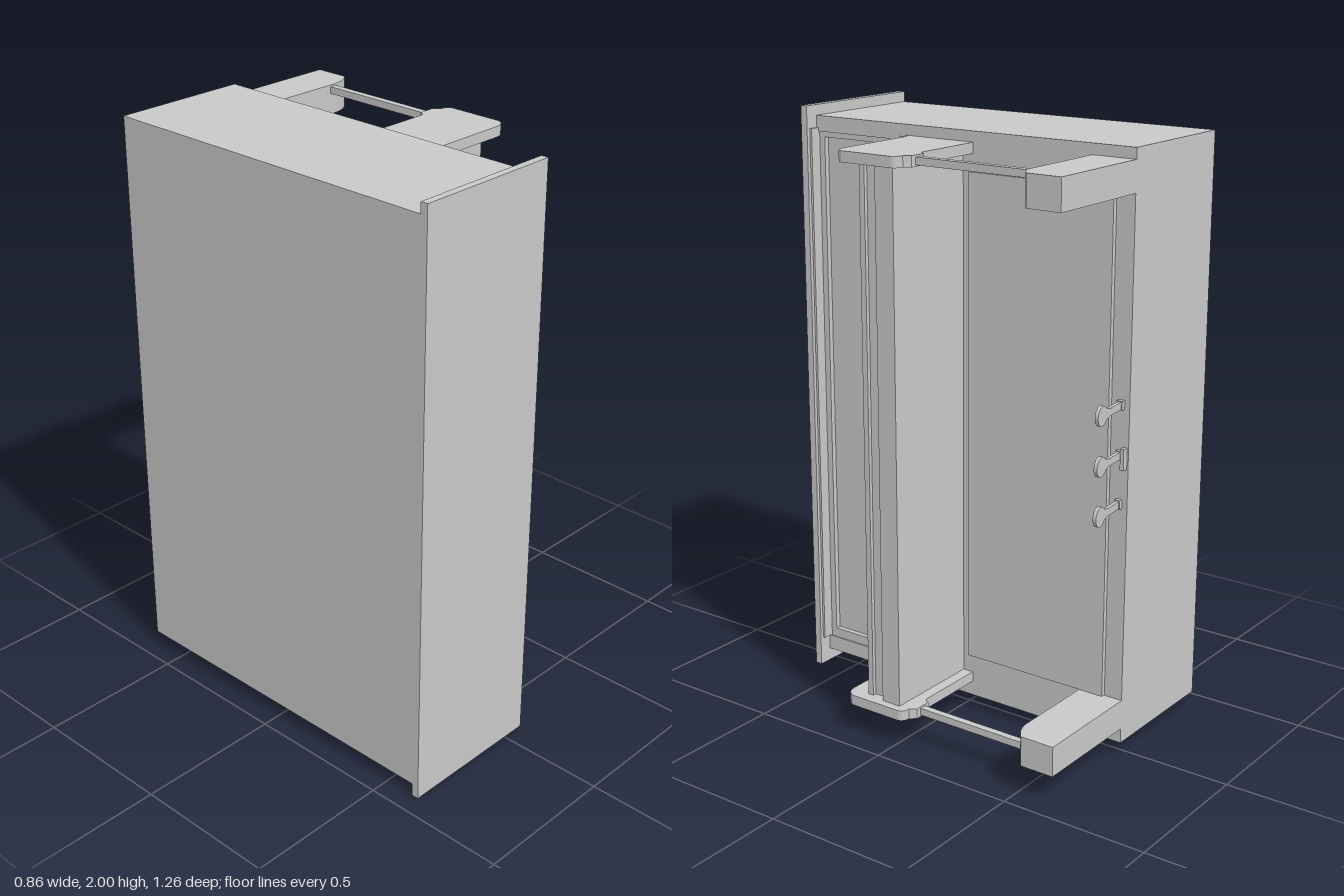
import * as THREE from 'three';

export function createModel() {
  const model = new THREE.Group();
  model.name = 'uprightPiano';
  const grey = new THREE.MeshStandardMaterial({ color: 0xc8c8c8 });
  grey.name = 'plain grey';

  const add = (name, geometry) => {
    const mesh = new THREE.Mesh(geometry, grey);
    mesh.name = name;
    model.add(mesh);
    return mesh;
  };
  // Box given by its limits on each axis
  const box = (name, x0, x1, y0, y1, z0, z1) => {
    const g = new THREE.BoxGeometry(x1 - x0, y1 - y0, z1 - z0);
    g.translate((x0 + x1) / 2, (y0 + y1) / 2, (z0 + z1) / 2);
    return add(name, g);
  };
  // Outline in x and -z, raised along y
  const slab = (name, shape, y0, y1) => {
    const g = new THREE.ExtrudeGeometry(shape, { depth: y1 - y0, bevelEnabled: false, curveSegments: 8 });
    g.rotateX(-Math.PI / 2);
    g.translate(0, y0, 0);
    return add(name, g);
  };

  // Case and lid
  box('caseCore', -0.432, 0.012, 0.045, 1.965, -0.63, 0.605);
  box('lid', -0.432, 0.083, 0, 2, 0.605, 0.63);
  box('lidMoulding', 0.012, 0.07, 0.1, 1.925, 0.597, 0.605);
  box('upperPanelTopRail', 0.012, 0.03, 0.13, 1.895, 0.575, 0.597);
  box('upperPanelBottomRail', 0.012, 0.04, 0.1, 1.925, 0.235, 0.25);
  box('coverLedge', 0.012, 0.037, 0.097, 1.928, 0.13, 0.235);

  // Lower front with a raised panel
  box('lowerFront', 0.012, 0.035, 0.097, 1.928, -0.63, 0.01);
  box('lowerPanel', 0.035, 0.051, 0.197, 1.84, -0.565, -0.03);

  // Key cover, key slip and key bed between the cheeks
  box('keyCover', 0.012, 0.362, 0.13, 1.895, 0, 0.14);
  box('keyCoverLip', 0.362, 0.375, 0.13, 1.895, 0.12, 0.14);
  box('keySlip', 0.362, 0.387, 0.13, 1.895, 0, 0.07);

  // Cheek with hollow top corner and round front corner
  const cheek = new THREE.Shape();
  cheek.moveTo(0.015, 0.015);
  cheek.lineTo(0.015, -0.235);
  cheek.lineTo(0.035, -0.235);
  cheek.quadraticCurveTo(0.038, -0.21, 0.065, -0.209);
  cheek.lineTo(0.365, -0.209);
  cheek.quadraticCurveTo(0.405, -0.207, 0.415, -0.175);
  cheek.lineTo(0.415, 0.015);
  cheek.closePath();

  // Bracket below the cheek, ending in the column's capital
  const bracket = new THREE.Shape();
  bracket.moveTo(0.015, 0.015);
  bracket.lineTo(0.415, 0.015);
  bracket.quadraticCurveTo(0.412, 0.036, 0.385, 0.038);
  bracket.lineTo(0.368, 0.058);
  bracket.lineTo(0.308, 0.058);
  bracket.quadraticCurveTo(0.305, 0.038, 0.285, 0.038);
  bracket.lineTo(0.015, 0.038);
  bracket.closePath();

  // Foot with a curved front corner
  const foot = new THREE.Shape();
  foot.moveTo(0.015, 0.63);
  foot.lineTo(0.015, 0.476);
  foot.lineTo(0.355, 0.476);
  foot.quadraticCurveTo(0.395, 0.48, 0.43, 0.512);
  foot.lineTo(0.43, 0.63);
  foot.closePath();

  // Matching parts at the two ends
  for (const top of [false, true]) {
    const end = top ? 'Left' : 'Right';
    const span = (a, b) => (top ? [2.01 - b, 2.01 - a] : [a, b]);
    const armSpan = (a, b) => (top ? [2.025 - b, 2.025 - a] : [a, b]);
    box('caseSide' + end, 0.012, 0.035, ...span(0.045, 0.097), -0.63, 0.605);
    box('upperPanelStile' + end, 0.012, 0.03, ...armSpan(0.097, 0.13), 0.2, 0.597);
    slab('cheek' + end, cheek, ...armSpan(0.095, 0.13));
    slab('bracket' + end, bracket, ...armSpan(0.095, 0.13));
    box('legColumn' + end, 0.326, 0.35, ...armSpan(0.101, 0.125), -0.48, -0.05);
    slab('foot' + end, foot, ...armSpan(0.095, 0.195));
  }

  // Pedals: a narrow arm with a round pad, sloping down to the front
  const pedal = new THREE.Shape();
  pedal.moveTo(0.01, -0.012);
  pedal.lineTo(0.12, -0.012);
  pedal.quadraticCurveTo(0.145, -0.014, 0.155, -0.025);
  pedal.absarc(0.175, 0, 0.032, -2.25, 2.25, false);
  pedal.quadraticCurveTo(0.145, 0.014, 0.12, 0.012);
  pedal.lineTo(0.01, 0.012);
  pedal.closePath();
  for (const y of [0.86, 1.02, 1.18]) {
    const g = new THREE.ExtrudeGeometry(pedal, { depth: 0.012, bevelEnabled: false, curveSegments: 10 });
    const p = g.attributes.position;
    for (let i = 0; i < p.count; i++) {
      p.setZ(i, p.getZ(i) - 0.605 - 0.12 * Math.max(0, p.getX(i) - 0.035));
    }
    g.computeVertexNormals();
    g.translate(0, y, 0);
    add('pedal', g);
    box('pedalGuide', 0.03, 0.05, y - 0.015, y + 0.015, -0.612, -0.592);
  }
  box('middlePedalBracket', 0.03, 0.055, 0.975, 1.045, -0.625, -0.612);

  return model;
}
